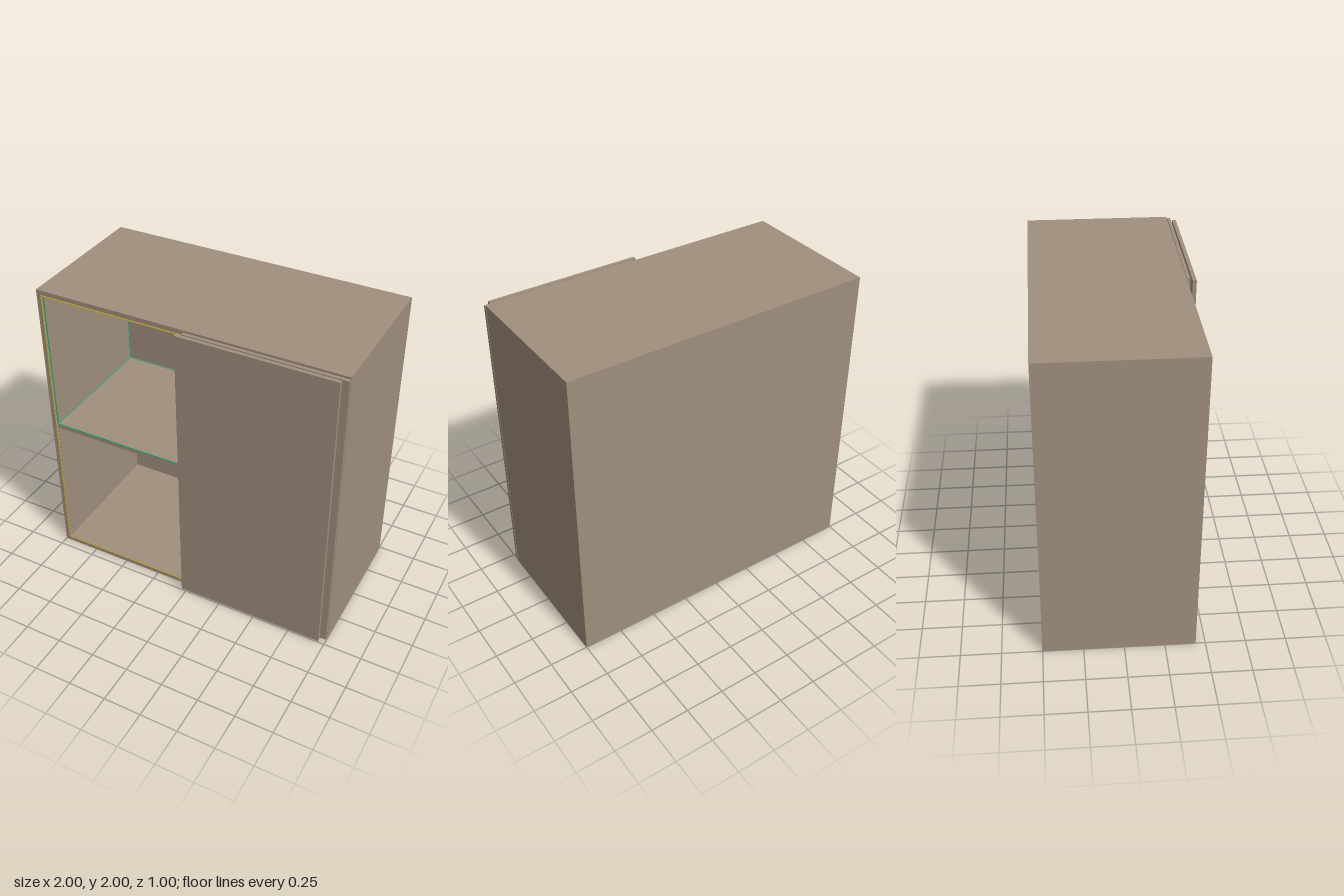
import * as THREE from 'three';

const mat = (name, color, side = THREE.FrontSide) => {
  const m = new THREE.MeshStandardMaterial({ color, side });
  m.name = name;
  return m;
};

export function createModel() {
  const wood = mat('taupe wood', 0xa08f7d);
  const yellow = mat('yellow trim', 0xd6bb45);
  const green = mat('green trim', 0x3fa87c);
  const robeRed = mat('dark red cloth', 0x6e3438, THREE.DoubleSide);
  const skin = mat('skin', 0xa8957f);
  const hairDark = mat('dark hair', 0x2e211e);

  const model = new THREE.Group();
  model.name = 'slidingDoorCabinet';

  const add = (parent, name, geo, material) => {
    const m = new THREE.Mesh(geo, material);
    m.name = name;
    parent.add(m);
    return m;
  };
  // Box given by its minimum and maximum on each axis
  const box = (name, material, x0, x1, y0, y1, z0, z1, parent = model) => {
    const m = add(parent, name, new THREE.BoxGeometry(x1 - x0, y1 - y0, z1 - z0), material);
    m.position.set((x0 + x1) / 2, (y0 + y1) / 2, (z0 + z1) / 2);
    return m;
  };

  // Carcass
  const back = -0.5, front = 0.44, t = 0.04;
  box('bottomPanel', wood, -1, 1, 0, t, back, front);
  box('topPanel', wood, -1, 1, 2 - t, 2, back, front);
  box('leftPanel', wood, 1 - t, 1, t, 2 - t, back, front);
  box('rightPanel', wood, -1, -1 + t, t, 2 - t, back, front);
  box('backPanel', wood, -1 + t, 1 - t, t, 2 - t, back, back + t);
  box('shelf', wood, -0.96, 0.96, 0.99, 1.02, back + t, 0.435);

  // Sliding doors, both pushed to one side
  box('innerDoor', wood, 0, 1, 0.01, 1.99, 0.446, 0.467);
  box('outerDoor', wood, -0.03, 0.96, 0.01, 1.99, 0.476, 0.5);

  // Yellow line around the opening
  const s = 0.007;
  for (const side of [-1, 1]) {
    const x = side * 0.966;
    box('openingTrimSide', yellow, x - s / 2, x + s / 2, 0.03, 1.97, front, front + 0.004);
  }
  for (const y of [0.034, 1.966])
    box('openingTrimEdge', yellow, -0.97, 0.97, y - s / 2, y + s / 2, front, front + 0.004);

  // Green lines along the edges of the upper compartment
  const g = 0.006;
  for (const z of [back + t, 0.43]) {
    box('shelfTrim', green, -0.96, 0.96, 1.017, 1.017 + g, z, z + g);
    for (const x of [-0.96, 0.96 - g])
      box('compartmentTrim', green, x, x + g, 1.02, 1.96, z, z + g);
  }
  for (const x of [-0.96, 0.96 - g])
    box('shelfSideTrim', green, x, x + g, 1.017, 1.017 + g, back + t, 0.43);

  // Robed figure standing inside
  const figure = new THREE.Group();
  figure.name = 'robedFigure';
  figure.position.set(0.02, 0, 0);
  model.add(figure);

  const up = new THREE.Vector3(0, 1, 0);
  // Tapered limb from a to b
  const limb = (name, material, a, b, ra, rb, open = false) => {
    const p = new THREE.Vector3(...a), q = new THREE.Vector3(...b);
    const d = q.clone().sub(p);
    const m = add(figure, name, new THREE.CylinderGeometry(rb, ra, d.length(), 14, 1, open), material);
    m.position.copy(p).add(q).multiplyScalar(0.5);
    m.quaternion.setFromUnitVectors(up, d.normalize());
    return m;
  };
  const ball = (name, material, x, y, z, rx, ry, rz) => {
    const m = add(figure, name, new THREE.SphereGeometry(1, 18, 12), material);
    m.position.set(x, y, z);
    m.scale.set(rx, ry, rz);
  };

  // Robe with soft folds that deepen towards the hem
  const profile = [[0.13, 0.22], [0.125, 0.4], [0.115, 0.55], [0.095, 0.66],
    [0.105, 0.78], [0.112, 0.85], [0.07, 0.885], [0.035, 0.9]];
  const robeGeo = new THREE.LatheGeometry(profile.map(([r, y]) => new THREE.Vector2(r, y)), 40);
  const pos = robeGeo.attributes.position;
  for (let i = 0; i < pos.count; i++) {
    const x = pos.getX(i), y = pos.getY(i), z = pos.getZ(i);
    const fold = 1 + 0.05 * Math.max(0, (0.7 - y) / 0.5) * Math.cos(10 * Math.atan2(z, x));
    pos.setXYZ(i, x * fold * 0.96, y, z * fold * 0.65);
  }
  robeGeo.computeVertexNormals();
  add(figure, 'robe', robeGeo, robeRed);

  for (const k of [-1, 1]) {
    // Wide sleeve, arm, hand and fingers
    limb('sleeve', robeRed, [k * 0.09, 0.85, 0], [k * 0.165, 0.63, 0.02], 0.035, 0.06, true);
    limb('arm', skin, [k * 0.12, 0.78, 0], [k * 0.24, 0.55, 0.04], 0.022, 0.012);
    ball('hand', skin, k * 0.25, 0.53, 0.042, 0.015, 0.025, 0.012);
    for (const f of [0, 1, 2])
      limb('finger', skin, [k * 0.25, 0.53, 0.042], [k * (0.285 - f * 0.015), 0.48 - f * 0.005, 0.045], 0.006, 0.004);
    // Leg and foot
    limb('leg', skin, [k * 0.07, 0.32, 0], [k * 0.083, 0.06, 0], 0.03, 0.015);
    ball('foot', skin, k * 0.083, 0.055, 0.03, 0.019, 0.015, 0.05);
    // Hair falling beside the neck
    limb('hairLock', hairDark, [k * 0.058, 1.0, -0.015], [k * 0.06, 0.87, 0.0], 0.02, 0.012);
  }
  limb('neck', skin, [0, 0.88, 0], [0, 0.95, 0], 0.03, 0.027);
  ball('head', skin, 0, 0.985, 0.012, 0.055, 0.07, 0.06);
  ball('hair', hairDark, 0, 1.0, -0.016, 0.07, 0.078, 0.065);
  ball('hairBack', hairDark, 0, 0.92, -0.05, 0.065, 0.11, 0.03);

  return model;
}
